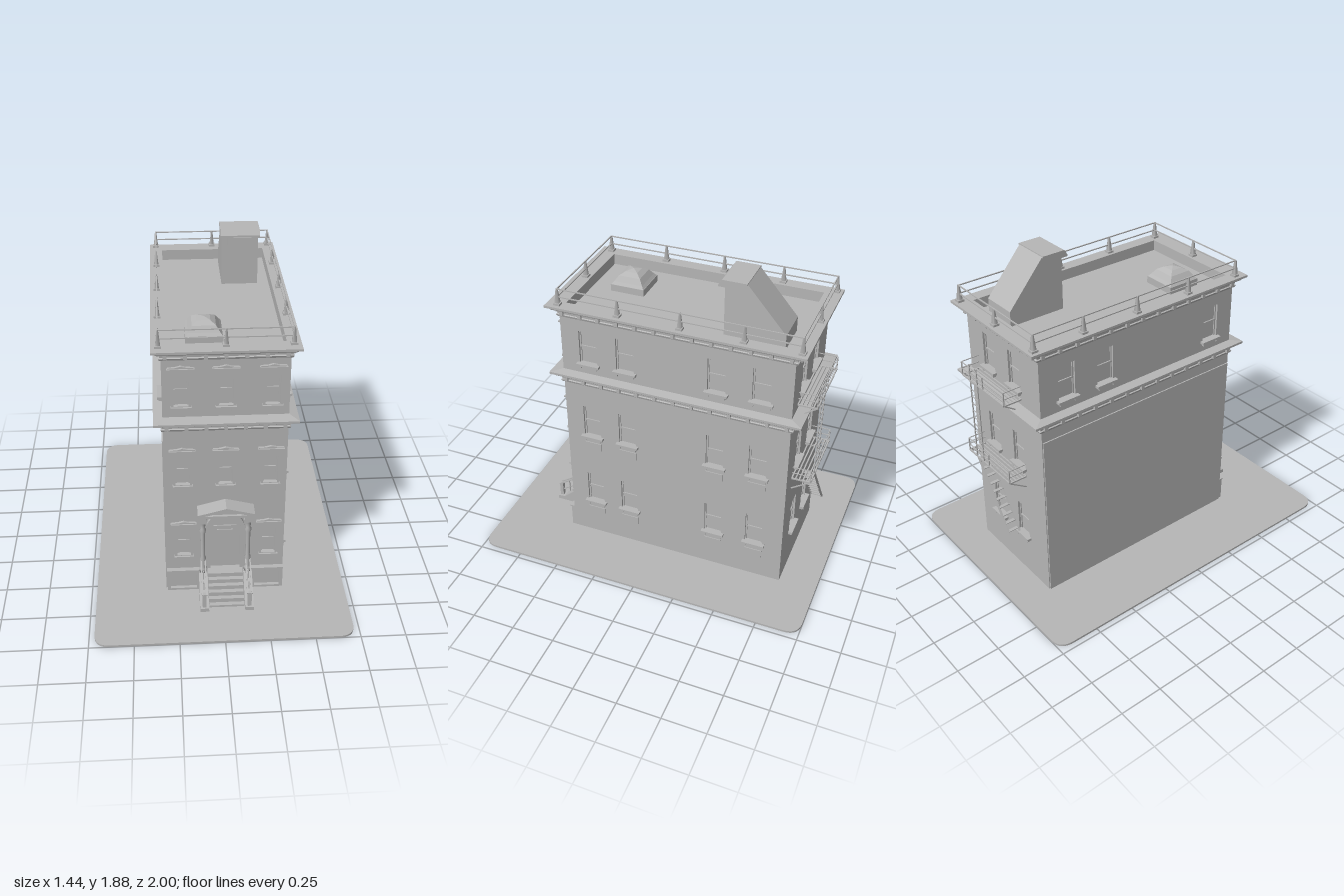
import * as THREE from 'three';

const stone = new THREE.MeshStandardMaterial({ color: 0xb6b6b6 });
stone.name = 'stone grey';
stone.side = THREE.DoubleSide;

const X0 = -0.31, X1 = 0.36, Z0 = -0.78, Z1 = 0.55, CX = 0.025, CZ = -0.115, T = 0.025, TOP = 1.59;

function add(parent, name, geo, x = 0, y = 0, z = 0) {
  const m = new THREE.Mesh(geo, stone);
  m.name = name;
  m.position.set(x, y, z);
  parent.add(m);
  return m;
}
const box = (p, name, w, h, d, x, y, z) => add(p, name, new THREE.BoxGeometry(w, h, d), x, y, z);

// straight bar between two points
function bar(p, name, a, b, t = 0.006) {
  const A = new THREE.Vector3(...a), d = new THREE.Vector3(...b).sub(A), len = d.length();
  const m = box(p, name, t, len, t, 0, 0, 0);
  m.position.copy(A).addScaledVector(d, 0.5);
  m.quaternion.setFromUnitVectors(new THREE.Vector3(0, 1, 0), d.normalize());
  return m;
}
const poly = (pts) => new THREE.Shape(pts.map(([x, y]) => new THREE.Vector2(x, y)));
const extrude = (shape, depth) => new THREE.ExtrudeGeometry(shape, { depth, bevelEnabled: false, curveSegments: 12 });
const rect = (x, y, w, h) => poly([[x - w / 2, y], [x + w / 2, y], [x + w / 2, y + h], [x - w / 2, y + h]]);

// (z, y) outline extruded across x
function sideProfile(p, name, pts, x0, x1) {
  return add(p, name, extrude(poly(pts), x1 - x0).rotateY(-Math.PI / 2), x1);
}

// rectangular ring around the house swept from [offset, y] pairs
function cornice(p, name, profile, base) {
  const pos = [], idx = [], n = profile.length;
  for (const [o, y] of profile)
    for (const [sx, sz] of [[-1, 1], [1, 1], [1, -1], [-1, -1]])
      pos.push(CX + sx * (0.335 + o), base + y, CZ + sz * (0.665 + o * 1.3));
  for (let i = 0; i < n - 1; i++)
    for (let j = 0; j < 4; j++) {
      const a = i * 4 + j, b = i * 4 + (j + 1) % 4;
      idx.push(a, b, b + 4, a, b + 4, a + 4);
    }
  const g = new THREE.BufferGeometry();
  g.setAttribute('position', new THREE.Float32BufferAttribute(pos, 3));
  g.setIndex(idx);
  const flat = g.toNonIndexed();
  flat.computeVertexNormals();
  add(p, name, flat);
}

// wall with openings; local +z faces outward
function facade(root, name, width, x, z, angle, openings, door) {
  const g = new THREE.Group();
  g.name = name;
  g.position.set(x, 0, z);
  g.rotation.y = angle;
  root.add(g);
  const wall = rect(0, 0, width, TOP);
  for (const o of openings) wall.holes.push(rect(o.u, o.y, o.w, o.h));
  if (door) wall.holes.push(door);
  add(g, name + 'Wall', extrude(wall, T), 0, 0, -T);
  for (const o of openings) {
    box(g, 'windowPane', o.w, o.h, 0.004, o.u, o.y + o.h / 2, -0.02);
    box(g, 'meetingRail', o.w, 0.01, 0.008, o.u, o.y + o.h / 2, -0.015);
    for (const s of [-1, 1]) box(g, 'sashStile', 0.008, o.h, 0.006, o.u + s * (o.w / 2 - 0.004), o.y + o.h / 2, -0.015);
    box(g, 'sill', o.w + 0.03, 0.014, 0.035, o.u, o.y - 0.007, 0.008);
    for (const s of [-1, 1]) box(g, 'sillBracket', 0.014, 0.016, 0.018, o.u + s * o.w * 0.45, o.y - 0.022, 0.009);
  }
  return g;
}

function createModel() {
  const root = new THREE.Group();
  root.name = 'townhouse';

  // pavement with rounded corners, open beneath the house and stoop
  const w = 0.72, d = 1, r = 0.09, pave = new THREE.Shape();
  pave.moveTo(-w + r, -d).lineTo(w - r, -d).quadraticCurveTo(w, -d, w, -d + r).lineTo(w, d - r)
    .quadraticCurveTo(w, d, w - r, d).lineTo(-w + r, d).quadraticCurveTo(-w, d, -w, d - r)
    .lineTo(-w, -d + r).quadraticCurveTo(-w, -d, -w + r, -d);
  pave.holes.push(poly([[X0, -Z0], [X0, -Z1], [-0.07, -Z1], [-0.07, -0.72], [0.12, -0.72], [0.12, -Z1], [X1, -Z1], [X1, -Z0]]));
  add(root, 'pavement', extrude(pave, 0.012).rotateX(-Math.PI / 2));

  // walls and windows
  const win = (u, y, h = 0.2, ww = 0.105) => ({ u, y, w: ww, h });
  const floors = [0.26, 0.75, 1.25], cols = [0.39, 0.17, -0.36, -0.61];
  const frontWins = [];
  for (const y of floors) for (const u of [-0.235, 0, 0.245]) if (u || y > 0.5) frontWins.push(win(u, y, 0.18, 0.08));
  const arch = new THREE.Path();
  arch.moveTo(-0.085, 0.15).lineTo(0.085, 0.15).lineTo(0.085, 0.45).absarc(0, 0.45, 0.085, 0, Math.PI, false).lineTo(-0.085, 0.15);
  const front = facade(root, 'front', X1 - X0, CX, Z1, 0, frontWins, arch);
  const right = facade(root, 'leftSide', 1.33 - 2 * T, X1, CZ, Math.PI / 2,
    floors.flatMap((y) => cols.map((z) => win(CZ - z, y))));
  facade(root, 'rightSide', 1.33 - 2 * T, X0, CZ, -Math.PI / 2, [0.39, -0.36, -0.61].map((z) => win(z - CZ, 1.25)));
  facade(root, 'back', X1 - X0, CX, Z0, Math.PI, floors.flatMap((y) => [0.16, -0.08].map((x) => win(CX - x, y + 0.02))));
  box(root, 'partyWall', 0.008, 1.03, 1.32, X0 - 0.003, 0.515, CZ);
  for (const y of [0.155, 0.65]) for (const z of cols) box(right, 'vent', 0.105, 0.05, 0.006, CZ - z, y + 0.025, 0.002);

  // flared surrounds on the front windows
  for (const o of frontWins) {
    const s = poly([[-0.052, 0], [0.052, 0], [0.048, 0.17], [0.068, 0.205], [0.068, 0.23], [0.03, 0.232],
      [0, 0.24], [-0.03, 0.232], [-0.068, 0.23], [-0.068, 0.205], [-0.048, 0.17]]);
    s.holes.push(rect(0, 0.004, 0.078, 0.175));
    add(front, 'windowSurround', extrude(s, 0.014), o.u, o.y, 0);
    box(front, 'windowHood', 0.144, 0.008, 0.024, o.u, o.y + 0.222, 0.01);
  }

  // plinth with framed panels either side of the stoop
  for (const [a, b] of [[-0.335, -0.145], [0.15, 0.335]]) {
    const s = rect((a + b) / 2, 0, b - a, 0.155);
    s.holes.push(rect((a + b) / 2, 0.025, b - a - 0.04, 0.105));
    add(front, 'plinthPanel', extrude(s, 0.02));
    box(front, 'plinthCap', b - a, 0.01, 0.03, (a + b) / 2, 0.155, 0.013);
  }

  // doorway: door, arch, columns, pediment
  box(front, 'door', 0.17, 0.39, 0.004, 0, 0.345, -0.023);
  box(front, 'doorLeaf', 0.13, 0.29, 0.008, 0, 0.3, -0.018);
  box(front, 'doorPanel', 0.09, 0.2, 0.006, 0, 0.32, -0.012);
  const ring = new THREE.Shape();
  ring.absarc(0, 0.45, 0.108, 0, Math.PI, false);
  ring.absarc(0, 0.45, 0.085, Math.PI, 0, true);
  add(front, 'archMoulding', extrude(ring, 0.02));
  const colPts = [[0, 0.155], [0.022, 0.155], [0.022, 0.18], [0.013, 0.19], [0.018, 0.25], [0.012, 0.27], [0.013, 0.43], [0.02, 0.45],
    [0.013, 0.465], [0.016, 0.5], [0.025, 0.52], [0, 0.52]].map(([x, y]) => new THREE.Vector2(x, y));
  for (const s of [-1, 1]) {
    add(front, 'column', new THREE.LatheGeometry(colPts, 10), s * 0.128, 0, 0.027);
    box(front, 'columnPedestal', 0.045, 0.155, 0.04, s * 0.128, 0.0775, 0.02);
    box(front, 'pilaster', 0.03, 0.38, 0.012, s * 0.122, 0.345, 0.005);
    box(front, 'capitalBlock', 0.045, 0.05, 0.065, s * 0.13, 0.545, 0.033);
  }
  box(front, 'entablature', 0.27, 0.03, 0.05, 0, 0.56, 0.025);
  box(front, 'pedimentLedge', 0.31, 0.014, 0.09, 0, 0.582, 0.045);
  add(front, 'pediment', extrude(poly([[-0.14, 0.585], [0.14, 0.585], [0, 0.625]]), 0.075));
  add(front, 'pedimentRoof', extrude(poly([[-0.158, 0.588], [-0.14, 0.588], [0, 0.624], [0.14, 0.588], [0.158, 0.588],
    [0.158, 0.6], [0, 0.642], [-0.158, 0.6]]), 0.095));

  // stoop
  const steps = [[0.55, 0], [0.73, 0]], n = 6;
  for (let i = 0; i < n; i++) {
    const z = 0.73 - i * 0.026;
    steps.push([z, (i + 1) * 0.025], [i === n - 1 ? 0.55 : z - 0.026, (i + 1) * 0.025]);
  }
  sideProfile(root, 'steps', steps, -0.075, 0.125);
  for (const x of [-0.103, 0.153]) {
    sideProfile(root, 'stoopCheek', [[0.55, 0], [0.765, 0], [0.765, 0.035], [0.72, 0.04], [0.59, 0.15], [0.55, 0.15]], x - 0.025, x + 0.025);
    box(root, 'newel', 0.022, 0.1, 0.022, x, 0.08, 0.745);
    for (const o of [-0.012, 0.012]) bar(root, 'handrail', [x + o, 0.125, 0.755], [x + o, 0.24, 0.58], 0.008);
    bar(root, 'lowerRail', [x, 0.07, 0.75], [x, 0.18, 0.58]);
    for (const t of [0.33, 0.66, 1])
      bar(root, 'baluster', [x, 0.035 + t * 0.115, 0.74 - t * 0.155], [x, 0.13 + t * 0.105, 0.745 - t * 0.16]);
  }

  // cornices and brackets
  const prof = [[0, 0], [0.008, 0], [0.012, 0.012], [0.006, 0.016], [0.008, 0.035], [0.028, 0.042], [0.034, 0.055],
    [0.05, 0.06], [0.05, 0.073]];
  cornice(root, 'roofCornice', [...prof, [-T, 0.073], [-T, 0]], 1.525);
  cornice(root, 'middleCornice', [...prof, [0, 0.083]], 1.1);
  for (const y of [1.125, 1.55]) {
    for (let i = 0; i <= 6; i++) for (const z of [Z1 + 0.014, Z0 - 0.014])
      box(root, 'corniceBracket', 0.02, 0.026, 0.03, X0 + 0.02 + i * 0.105, y, z);
    for (let i = 0; i <= 12; i++) for (const x of [X0 - 0.01, X1 + 0.01])
      box(root, 'corniceBracket', 0.022, 0.026, 0.02, x, y, Z0 + 0.02 + i * 0.1075);
  }

  // roof, skylight, stair bulkhead
  box(root, 'roof', 0.65, 0.01, 1.31, CX, 1.53, CZ);
  box(root, 'skylightCurb', 0.2, 0.04, 0.2, -0.08, 1.555, 0.3);
  const sky = [[0.138, 1.575], [0.12, 1.59], [0.09, 1.62], [0.05, 1.638], [0, 1.648]].map(([x, y]) => new THREE.Vector2(x, y));
  const dome = new THREE.LatheGeometry(sky, 4).rotateY(Math.PI / 4).toNonIndexed();
  dome.computeVertexNormals();
  add(root, 'skylight', dome, -0.08, 0, 0.3);
  sideProfile(root, 'bulkhead', [[-0.36, 1.53], [-0.36, 1.84], [-0.37, 1.87], [-0.48, 1.87], [-0.695, 1.62], [-0.695, 1.53]], 0.058, 0.268);
  sideProfile(root, 'bulkheadHood', [[-0.325, 1.835], [-0.325, 1.845], [-0.345, 1.875], [-0.48, 1.875], [-0.48, 1.865], [-0.36, 1.835]], 0.05, 0.275);
  box(root, 'bulkheadDoor', 0.14, 0.28, 0.008, 0.163, 1.68, -0.358);

  // roof railing
  const rx = [-0.322, 0.37], rz = [0.55, 0.2, -0.155, -0.505, -0.81];
  const posts = [...rz.flatMap((z) => rx.map((x) => [x, z])), [CX, rz[0]], [CX, rz[4]]];
  for (const [x, z] of posts) {
    box(root, 'postFoot', 0.036, 0.012, 0.036, x, 1.604, z);
    add(root, 'railPost', new THREE.CylinderGeometry(0.006, 0.018, 0.09, 4).rotateY(Math.PI / 4), x, 1.65, z);
  }
  for (const y of [1.692, 1.645]) {
    for (const x of rx) bar(root, 'roofRail', [x, y, rz[0]], [x, y, rz[4]]);
    for (const z of [rz[0], rz[4]]) bar(root, 'roofRail', [rx[0], y, z], [rx[1], y, z]);
  }

  // fire escape
  const fire = new THREE.Group();
  fire.name = 'fireEscape';
  root.add(fire);
  const a = -0.14, b = 0.27, zi = -0.785, zo = -0.89;
  for (const y of [0.72, 1.22]) {
    for (let i = 0; i < 6; i++) bar(fire, 'platformSlat', [a, y, zi - i * 0.021], [b, y, zi - i * 0.021], 0.008);
    for (const x of [a, b]) {
      bar(fire, 'platformEnd', [x, y, zi], [x, y, zo], 0.008);
      bar(fire, 'platformBrace', [x, y - 0.07, zi], [x, y, zo]);
      for (const h of [0.04, 0.08]) bar(fire, 'endRail', [x, y + h, zi], [x, y + h, zo], 0.004);
    }
    for (const h of [0.04, 0.08]) bar(fire, 'sideRail', [a, y + h, zo], [b, y + h, zo], 0.004);
    for (const x of [a, 0.065, b]) bar(fire, 'railUpright', [x, y, zo], [x, y + 0.08, zo]);
  }
  for (const x of [0.12, 0.19]) bar(fire, 'ladderSide', [x, 0.72, zo], [x, 1.32, zo]);
  for (let y = 0.76; y < 1.3; y += 0.045) bar(fire, 'ladderRung', [0.12, y, zo], [0.19, y, zo], 0.004);
  for (const z of [-0.825, zo]) bar(fire, 'stairStringer', [0.18, 0.72, z], [-0.1, 0.33, z], 0.01);
  for (let i = 0; i < 10; i++) {
    const t = (i + 0.5) / 10;
    box(fire, 'stairTread', 0.02, 0.004, 0.065, 0.18 - 0.28 * t, 0.72 - 0.39 * t, -0.857);
  }
  return root;
}

export { createModel };
